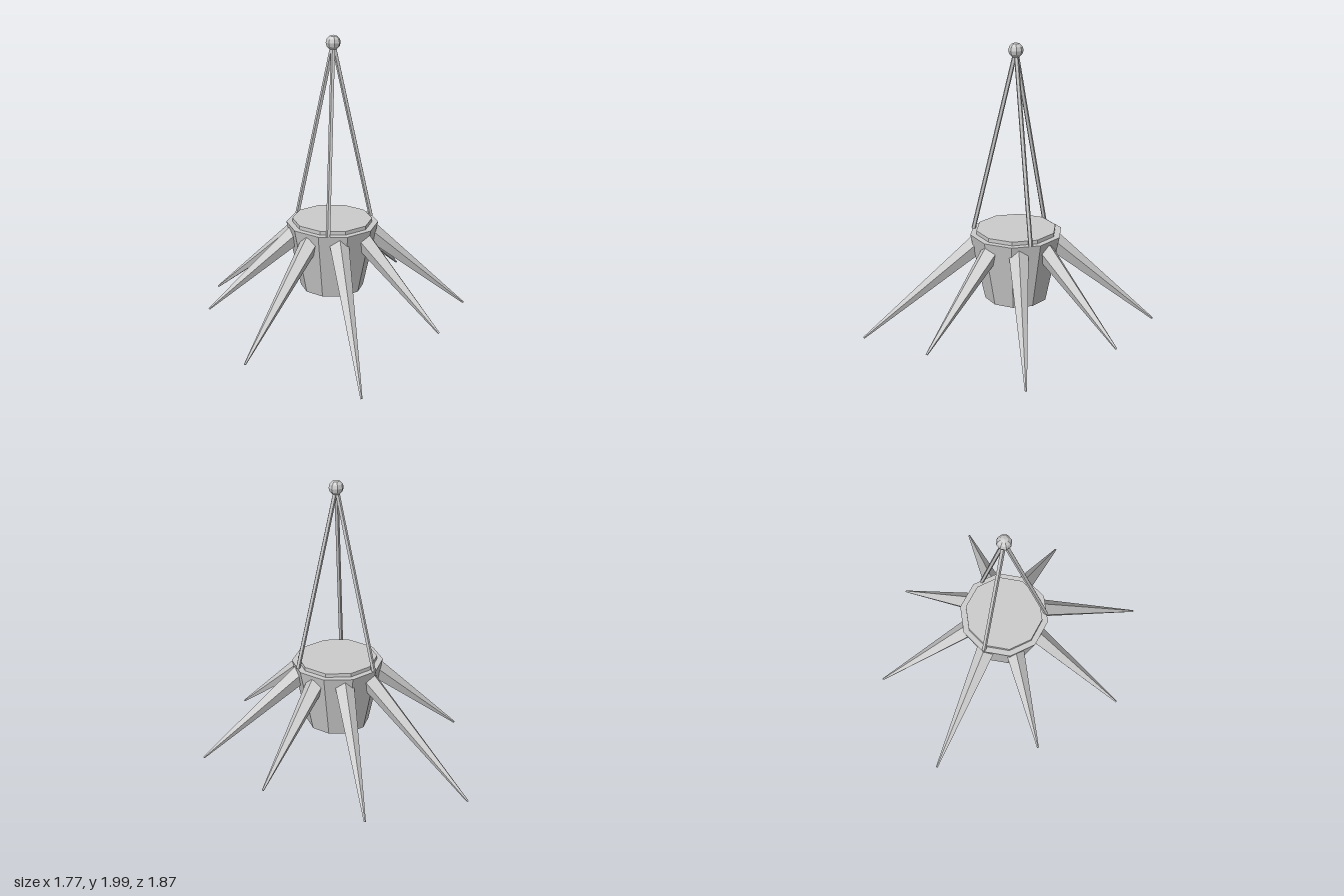
import * as THREE from 'three';

const material = new THREE.MeshStandardMaterial({ color: 0xcccccc, flatShading: true });

export function createModel() {
  const planter = new THREE.Group();
  planter.name = 'hangingPlanter';

  const add = (name, geometry, y = 0) => {
    const mesh = new THREE.Mesh(geometry, material);
    mesh.name = name;
    mesh.position.y = y;
    planter.add(mesh);
    return mesh;
  };

  // Tapered ten-sided pot with a soil disc on top
  add('pot', new THREE.CylinderGeometry(0.305, 0.21, 0.455, 10), 0.5275);
  add('soil', new THREE.CylinderGeometry(0.265, 0.265, 0.06, 10), 0.75);

  // Spiky leaves: five-sided tapers drooping outwards, in three lengths
  const droop = 0.708;
  const short = 0.772, medium = 0.897, long = 1.027;
  const lengths = [short, medium, short, medium, long, short, medium, long];
  lengths.forEach((length, i) => {
    const leaf = new THREE.CylinderGeometry(0.007, 0.066, length, 5, 1, false, Math.PI);
    leaf.translate(0, length / 2, 0);
    leaf.rotateX(Math.PI / 2 + droop);
    leaf.translate(0, 0.68, 0.247);
    leaf.rotateY((i * Math.PI) / 4);
    add('leaf' + (i + 1), leaf);
  });

  // Three cords from the rim to the hanging knob
  const apex = new THREE.Vector3(0, 1.95, 0);
  const up = new THREE.Vector3(0, 1, 0);
  for (let i = 0; i < 3; i++) {
    const angle = Math.PI / 3 + (i * 2 * Math.PI) / 3;
    const foot = new THREE.Vector3(0.287 * Math.sin(angle), 0.755, 0.287 * Math.cos(angle));
    const span = apex.clone().sub(foot);
    const cord = add('cord' + (i + 1), new THREE.CylinderGeometry(0.015, 0.015, span.length(), 5));
    cord.position.copy(foot).addScaledVector(span, 0.5);
    cord.quaternion.setFromUnitVectors(up, span.normalize());
  }

  // Hanging knob
  add('knob', new THREE.SphereGeometry(0.048, 8, 6), 1.952);

  // The leaves are uneven, so the pot sits slightly off centre
  planter.position.set(0.045, 0, 0.095);
  const model = new THREE.Group();
  model.name = 'model';
  model.add(planter);
  return model;
}
